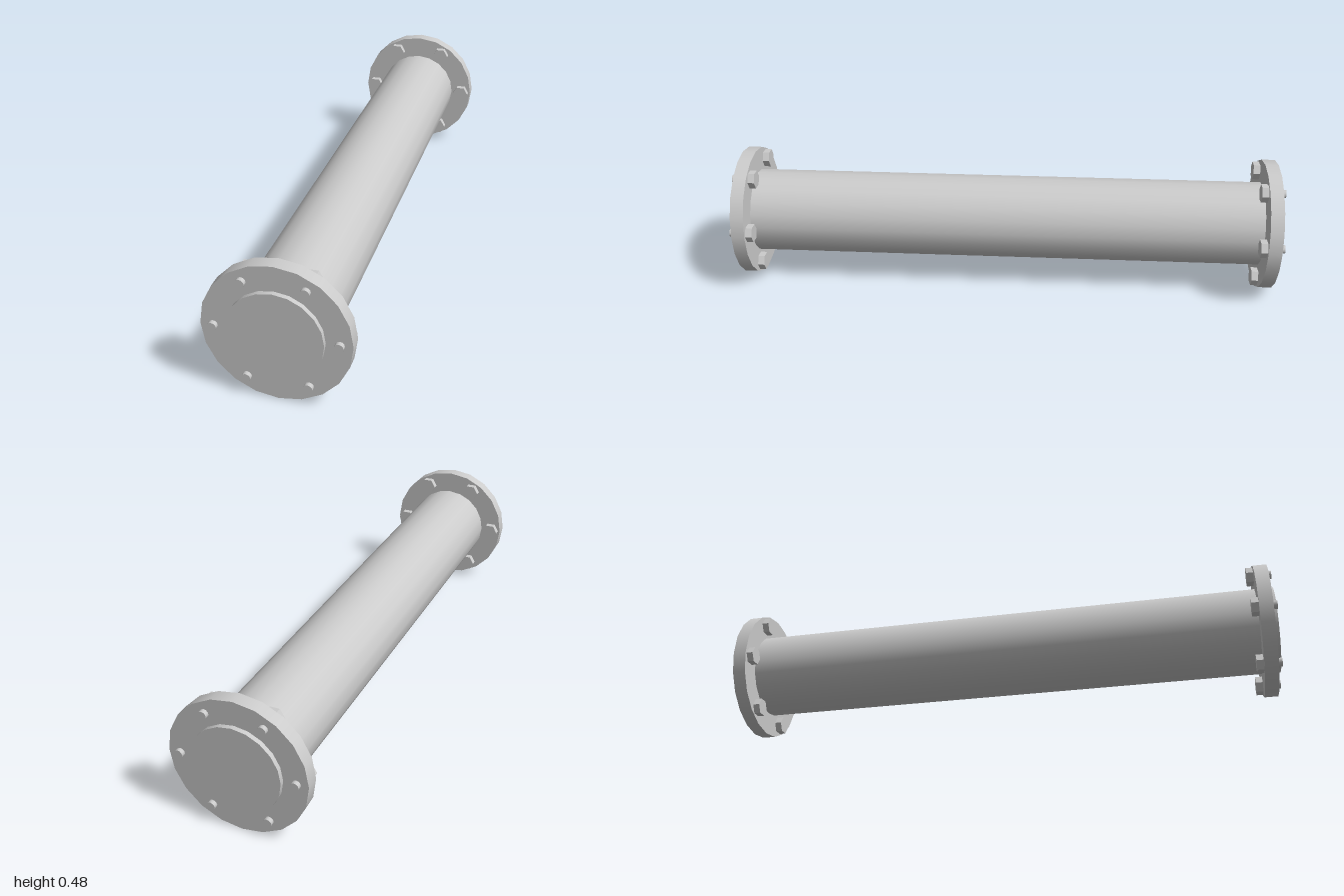
import * as THREE from 'three';

const AXIS_Y = 0.238;      // height of the pipe axis
const BOLT_RING = 0.197;   // radius of the bolt circle
const BOLTS = 6;

const smooth = new THREE.MeshStandardMaterial({ color: 0xcccccc });
const faceted = new THREE.MeshStandardMaterial({ color: 0xcccccc, flatShading: true });

// Capped cylinder lying along z, spanning z0 to z1
function rod(name, radius, z0, z1, sides, material = smooth, thetaStart = 0) {
  const geometry = new THREE.CylinderGeometry(radius, radius, z1 - z0, sides, 1, false, thetaStart);
  geometry.rotateX(Math.PI / 2);
  geometry.translate(0, 0, (z0 + z1) / 2);
  const mesh = new THREE.Mesh(geometry, material);
  mesh.name = name;
  return mesh;
}

// Hex head behind the flange, shank passing through to the outer face
function createBolt() {
  const bolt = new THREE.Group();
  bolt.name = 'bolt';
  bolt.add(rod('boltHead', 0.033, 0.912, 0.936, 6, faceted, Math.PI / 2));
  bolt.add(rod('boltShank', 0.015, 0.93, 0.999, 12));
  return bolt;
}

// Flange disc with its ring of bolts, at the +z end
function createFlange(name) {
  const flange = new THREE.Group();
  flange.name = name;
  flange.add(rod('flangeDisc', 0.238, 0.936, 0.984, 20));
  for (let i = 0; i < BOLTS; i++) {
    const a = (i / BOLTS) * Math.PI * 2;
    const bolt = createBolt();
    bolt.position.set(Math.cos(a) * BOLT_RING, Math.sin(a) * BOLT_RING, 0);
    flange.add(bolt);
  }
  return flange;
}

export function createModel() {
  const model = new THREE.Group();
  model.name = 'flangedPipe';

  model.add(rod('pipe', 0.154, -1, 1, 20));

  const front = createFlange('frontFlange');
  const back = createFlange('backFlange');
  back.rotation.y = Math.PI;
  model.add(front, back);

  for (const part of model.children) part.position.y = AXIS_Y;
  return model;
}
